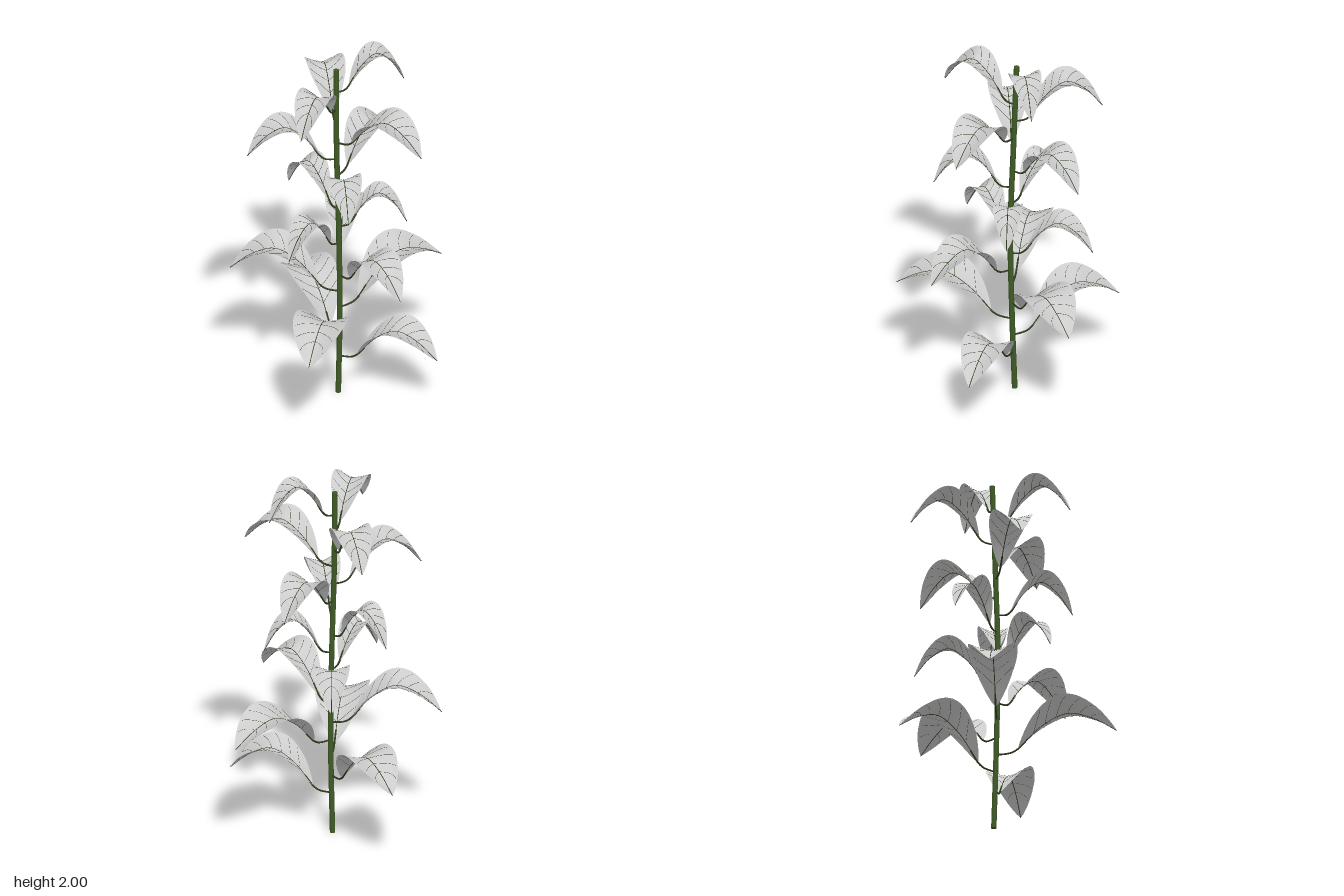
import * as THREE from 'three';

const V = (x, y, z) => new THREE.Vector3(x, y, z);
const leafMat = new THREE.MeshStandardMaterial({ color: 0xcccccc, side: THREE.DoubleSide });
const stemMat = new THREE.MeshStandardMaterial({ color: 0x3f5a26 });
const stalkMat = new THREE.MeshStandardMaterial({ color: 0x2c3d1c });

function part(name, geometry, material, parent) {
  const mesh = new THREE.Mesh(geometry, material);
  mesh.name = name;
  parent.add(mesh);
  return mesh;
}

const tube = (points, radius, segments, sides) =>
  new THREE.TubeGeometry(new THREE.CatmullRomCurve3(points), segments, radius, sides);

// Gently swaying stem
const STEM_HEIGHT = 1.91;
const stemCurve = new THREE.CatmullRomCurve3([
  V(-0.01, 0, -0.03), V(0.004, 0.48, -0.022), V(0.004, 0.95, -0.013),
  V(-0.014, 1.45, -0.02), V(-0.024, STEM_HEIGHT, -0.032),
]);

// Leaves from bottom to top: tip x, tip y, tip z, crest height
const LEAVES = [
  [0.52, 0.30, -0.13, 0.47], [-0.50, 0.43, -0.33, 0.59],
  [0.185, 0.51, 0.57, 0.67], [0.27, 0.63, -0.575, 0.78],
  [-0.52, 0.69, 0.19, 0.87], [0.47, 0.78, 0.145, 0.96],
  [-0.185, 0.85, -0.395, 1.04], [-0.085, 0.93, 0.325, 1.125],
  [0.295, 1.025, -0.20, 1.22], [-0.345, 1.12, -0.09, 1.32],
  [0.25, 1.24, 0.29, 1.435], [0.045, 1.34, -0.47, 1.53],
  [-0.355, 1.46, 0.29, 1.64], [0.49, 1.55, -0.025, 1.73],
  [-0.335, 1.64, -0.345, 1.83], [0.025, 1.715, 0.385, 1.91],
  [0.215, 1.80, -0.30, 2.0],
];

function makeLeaf([tipX, tipY, tipZ, crest], index) {
  const group = new THREE.Group();
  group.name = `leaf${index + 1}`;
  const attachY = 0.22 + 0.0975 * index;
  const root = stemCurve.getPoint(attachY / STEM_HEIGHT);
  root.y = attachY;
  const out = V(tipX - root.x, 0, tipZ - root.z);
  const reach = out.length();
  out.normalize();
  const side = V(-out.z, 0, out.x);
  const halfWidth = 0.222 * reach;
  const lift = 0.34 * halfWidth;
  const rise = crest - attachY - lift;
  const drop = tipY - attachY;
  const at = (r, y) => root.clone().addScaledVector(out, r * reach).add(V(0, y, 0));

  // Arched midrib
  const rib = new THREE.CatmullRomCurve3([
    at(0.18, 0.025), at(0.385, rise * 0.72), at(0.59, rise),
    at(0.795, drop + 0.7 * (rise - drop)), at(1, drop),
  ]);

  // Blade surface: t runs along the midrib, u across from -1 to 1
  const surface = (t, u) => {
    const p = rib.getPoint(t);
    const up = side.clone().cross(rib.getTangent(t)).normalize();
    if (up.y < 0) up.negate();
    const w = Math.pow(Math.max(0, Math.sin(Math.PI * t)), 0.83);
    return p.addScaledVector(side, u * w * halfWidth)
      .addScaledVector(up, lift * w * Math.pow(Math.abs(u), 1.4));
  };

  const blade = new THREE.PlaneGeometry(2, 1, 12, 28);
  const pos = blade.attributes.position;
  for (let i = 0; i < pos.count; i++) {
    const p = surface(pos.getY(i) + 0.5, pos.getX(i));
    pos.setXYZ(i, p.x, p.y, p.z);
  }
  blade.computeVertexNormals();
  part('blade', blade, leafMat, group);

  // Stalk joining blade to stem
  part('stalk', tube([at(0, 0), at(0.07, 0.001), at(0.13, 0.007), at(0.18, 0.025), rib.getPoint(0.1)],
    0.005, 14, 6), stalkMat, group);

  // Midrib and paired side veins
  part('midrib', new THREE.TubeGeometry(rib, 28, 0.0022, 5), stalkMat, group);
  for (let k = 0; k < 6; k++) {
    for (const s of [-1, 1]) {
      const points = [];
      for (let j = 0; j <= 6; j++) {
        const f = j / 6;
        points.push(surface(0.16 + 0.115 * k + 0.13 * f * (0.6 + 0.4 * f), s * f * 0.9));
      }
      part('sideVein', tube(points, 0.001, 10, 3), stalkMat, group);
    }
  }
  return group;
}

export function createModel() {
  const model = new THREE.Group();
  model.name = 'leafyPlant';

  const radius = 0.0145;
  part('stem', new THREE.TubeGeometry(stemCurve, 32, radius, 8), stemMat, model);
  for (const end of [0, 1]) {
    const cap = part('stemCap', new THREE.CircleGeometry(radius, 8), stemMat, model);
    cap.position.copy(stemCurve.getPoint(end));
    cap.rotation.x = end ? -Math.PI / 2 : Math.PI / 2;
  }

  LEAVES.forEach((leaf, i) => model.add(makeLeaf(leaf, i)));
  return model;
}
